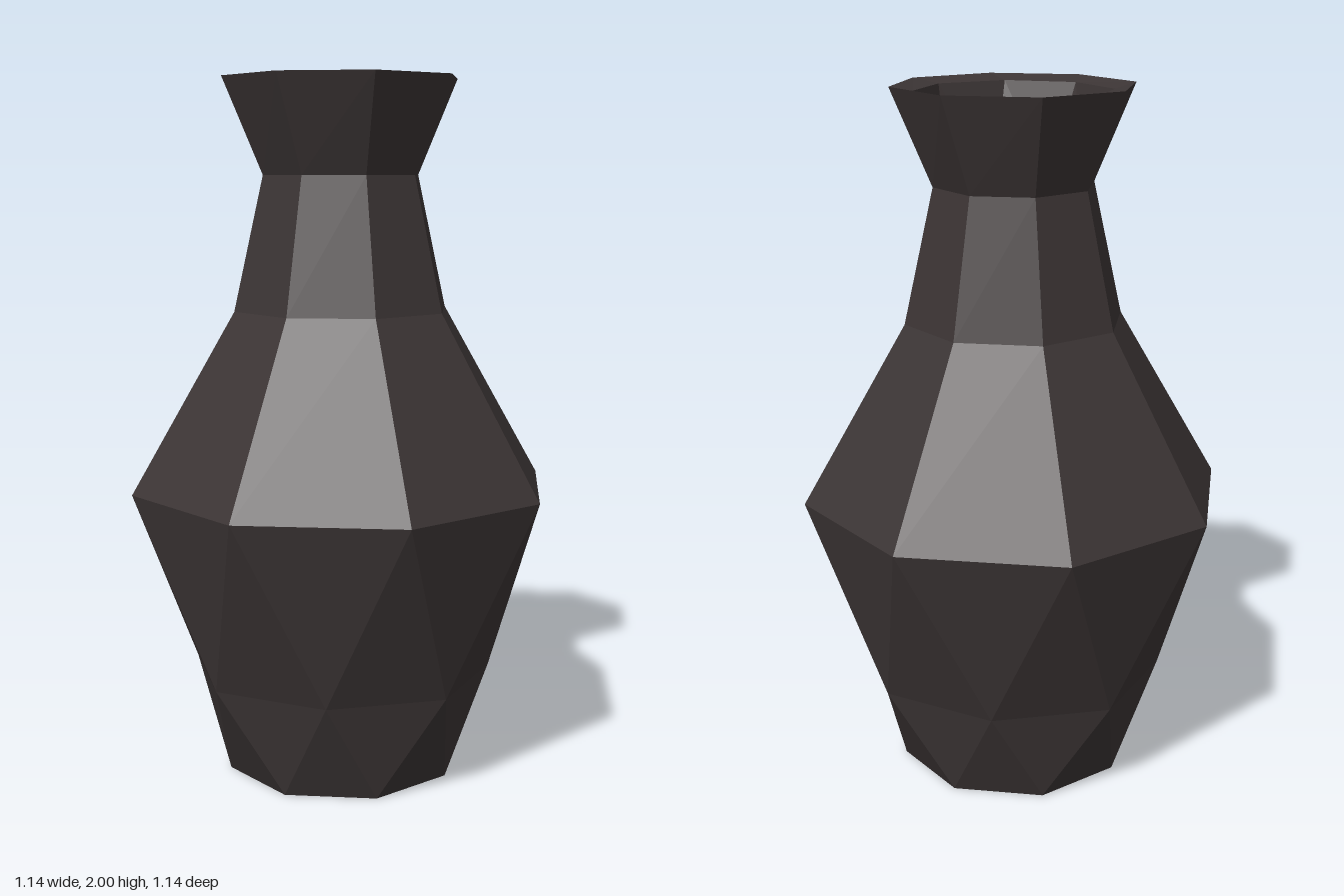
import * as THREE from 'three';

const SIDES = 8;

// Octagonal cross-section; phase is counted in sides, r2 is the radius of every second corner
function ring(y, r, phase = 0.5, r2 = r, cx = 0) {
  const points = [];
  for (let j = 0; j < SIDES; j++) {
    const a = ((j + phase) * 2 * Math.PI) / SIDES;
    const radius = j % 2 ? r2 : r;
    points.push([cx + radius * Math.cos(a), y, radius * Math.sin(a)]);
  }
  return { points, phase, y, cx };
}

// Skin a list of rings, optionally closing the first or last one
function loft(rings, { capStart = false, capEnd = false } = {}) {
  const pos = [];
  const tri = (a, b, c) => pos.push(...a, ...b, ...c);
  for (let k = 0; k < rings.length - 1; k++) {
    const a = rings[k].points, b = rings[k + 1].points;
    const leansBack = rings[k + 1].phase < rings[k].phase;
    for (let j = 0; j < SIDES; j++) {
      const n = (j + 1) % SIDES;
      if (leansBack) {
        tri(a[j], b[j], b[n]);
        tri(a[j], b[n], a[n]);
      } else {
        tri(a[j], b[j], a[n]);
        tri(a[n], b[j], b[n]);
      }
    }
  }
  const cap = (r, flip) => {
    const c = [r.cx, r.y, 0];
    for (let j = 0; j < SIDES; j++) {
      const p = r.points[j], q = r.points[(j + 1) % SIDES];
      if (flip) tri(c, q, p);
      else tri(c, p, q);
    }
  };
  if (capStart) cap(rings[0], false);
  if (capEnd) cap(rings[rings.length - 1], true);
  const geo = new THREE.BufferGeometry();
  geo.setAttribute('position', new THREE.Float32BufferAttribute(pos, 3));
  geo.computeVertexNormals();
  return geo;
}

export function createModel() {
  const clay = new THREE.MeshStandardMaterial({ color: 0x3c3535, flatShading: true });
  clay.name = 'dark clay';

  const group = new THREE.Group();
  group.name = 'vase';
  const add = (name, geo) => {
    const mesh = new THREE.Mesh(geo, clay);
    mesh.name = name;
    group.add(mesh);
  };

  const base = ring(0, 0.341);
  const lower = ring(0.3, 0.455, 0, 0.435); // half a side out of step, giving triangular facets
  const belly = ring(0.84, 0.617);
  const shoulder = ring(1.35, 0.316);
  const throat = ring(1.73, 0.23);
  const rim = ring(2, 0.343, 0.545);
  const innerRim = ring(1.985, 0.276, 0.68);
  const well = ring(1.72, 0.205, 0.5, 0.205, 0.01);

  add('body', loft([base, lower, belly, shoulder], { capStart: true }));
  add('neck', loft([shoulder, throat]));
  add('flaredMouth', loft([throat, rim]));
  add('lip', loft([rim, innerRim]));
  add('hollow', loft([innerRim, well], { capEnd: true }));
  return group;
}
